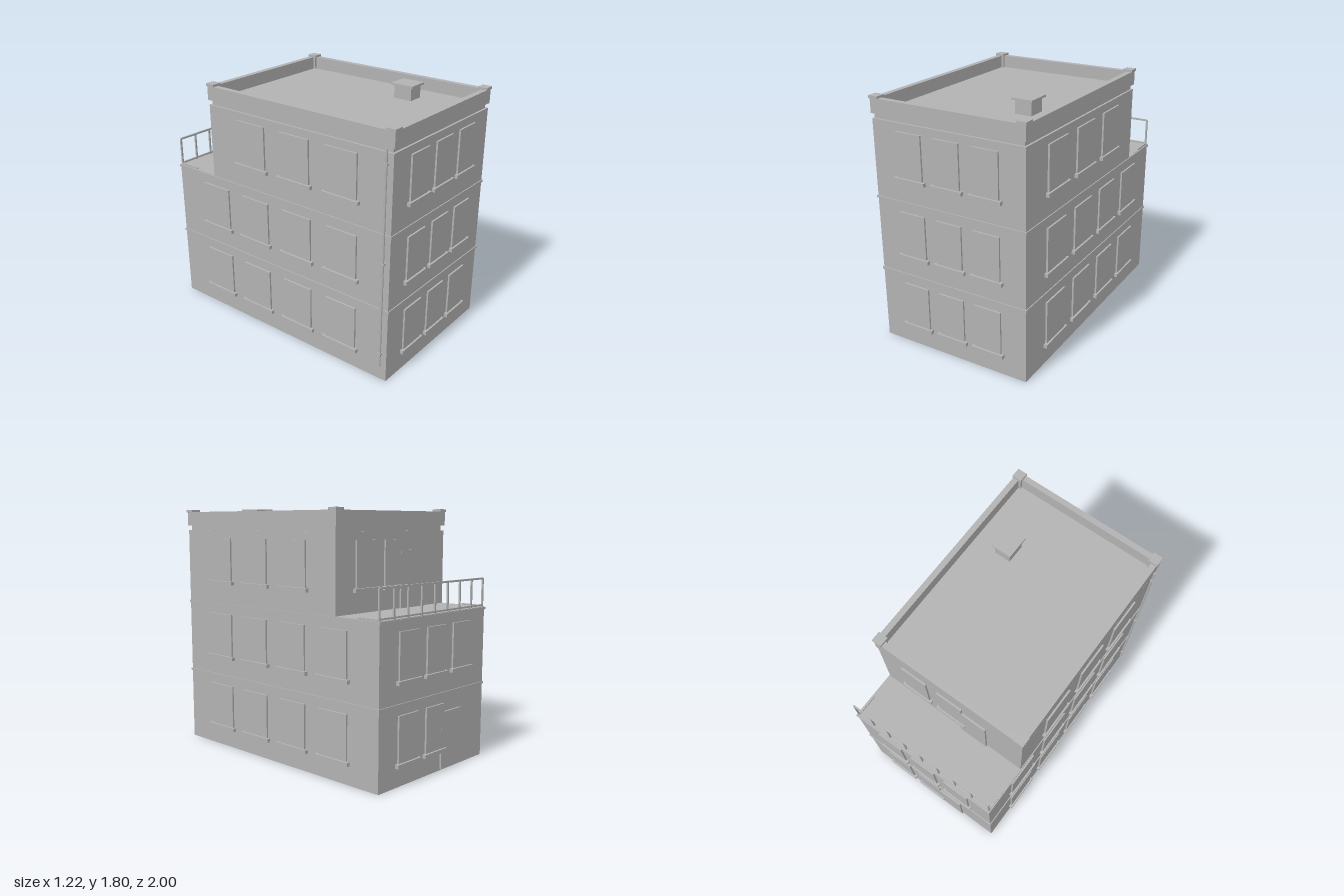
import * as THREE from 'three';

const HX = 0.584;                     // half width of the walls
const ZF = 0.972, ZB = -0.972;        // front and back walls
const ZU = -0.602;                    // back wall of the top storey
const FLOORS = [0, 0.546, 1.112];     // window offsets for each storey

export function createModel() {
  const model = new THREE.Group();
  const plaster = new THREE.MeshStandardMaterial({ color: 0xb2b2b2 });
  plaster.name = 'plaster grey';

  // box given by its lower and upper limits on each axis
  function box(name, x0, x1, y0, y1, z0, z1, parent = model) {
    const mesh = new THREE.Mesh(new THREE.BoxGeometry(x1 - x0, y1 - y0, z1 - z0), plaster);
    mesh.position.set((x0 + x1) / 2, (y0 + y1) / 2, (z0 + z1) / 2);
    mesh.name = name;
    parent.add(mesh);
    return mesh;
  }

  // walls
  box('lowerStoreys', -HX, HX, 0, 1.103, ZB, ZF);
  box('topStorey', -HX, HX, 1.103, 1.645, ZU, ZF);

  // thin bands between the storeys
  const b = 0.007;
  box('lowerBand', -HX - b, HX + b, 0.537, 0.553, ZB - b, ZF + b);
  box('upperBand', -HX - b, HX + b, 1.083, 1.1, ZB - b, ZF + b);

  // recessed neck, roof deck and parapet
  box('roofNeck', -HX + 0.015, HX - 0.015, 1.645, 1.68, ZU + 0.015, ZF - 0.015);
  const px = 0.588, pf = 0.978, pb = -0.61, t = 0.042;
  box('roofDeck', -px, px, 1.68, 1.69, pb, pf);
  box('frontParapet', -px, px, 1.68, 1.783, pf - t, pf);
  box('backParapet', -px, px, 1.68, 1.783, pb, pb + t);
  for (const s of [-1, 1]) {
    const xo = s * px, xi = s * (px - t);
    box('sideParapet', Math.min(xo, xi), Math.max(xo, xi), 1.68, 1.783, pb + t, pf - t);
    // corner posts with caps
    for (const z of [pf - 0.03, pb + 0.03]) {
      const x = s * (px - 0.03);
      box('cornerPost', x - 0.029, x + 0.029, 1.685, 1.784, z - 0.029, z + 0.029);
      box('cornerCap', x - 0.036, x + 0.036, 1.782, 1.8, z - 0.036, z + 0.036);
    }
  }

  // chimney
  box('chimney', 0.25, 0.37, 1.69, 1.786, 0.405, 0.545);
  box('chimneyCap', 0.233, 0.387, 1.785, 1.8, 0.387, 0.563);

  // window with sill on a wall whose outward direction is turned by angle
  function addWindow(x, z, angle, base, width) {
    const g = new THREE.Group();
    g.name = 'window';
    const w = width / 2, s = w + 0.021;
    box('windowPanel', -w, w, 0.16, 0.476, 0, 0.013, g);
    box('windowSill', -s, s, 0.132, 0.159, 0, 0.026, g);
    g.position.set(x, base, z);
    g.rotation.y = angle;
    model.add(g);
  }

  const columns = [-0.293, 0, 0.293];
  FLOORS.forEach((base, floor) => {
    for (const x of columns) {
      addWindow(x, ZF, 0, base, 0.204);
      // the back has a door in place of one window on two storeys
      if (floor === 1 || x >= 0) addWindow(x, floor === 2 ? ZU : ZB, Math.PI, base, 0.204);
    }
    const rows = floor === 2 ? [0.58, 0.188, -0.205] : [0.585, 0.197, -0.191, -0.579];
    for (const z of rows) {
      for (const s of [-1, 1]) addWindow(s * HX, z, s * Math.PI / 2, base, 0.256);
    }
  });

  // back doors
  box('groundDoor', -0.295, -0.073, 0.01, 0.415, ZB - 0.0135, ZB);
  box('terraceDoor', -0.295, -0.073, 1.103, 1.515, ZU - 0.0135, ZU);

  // terrace railing with short floor bars at its ends
  const rx = 0.575, rz = -0.96, r = 0.006;
  box('topRail', -rx, rx, 1.299, 1.312, rz - r, rz + r);
  box('bottomRail', -rx, rx, 1.108, 1.12, rz - r, rz + r);
  for (let i = 0; i <= 8; i++) {
    const x = -rx + (2 * rx * i) / 8;
    box('railPost', x - r, x + r, 1.1, 1.305, rz - r, rz + r);
  }
  for (const s of [-1, 1]) box('railFloorBar', s * rx - r, s * rx + r, 1.102, 1.114, rz, -0.79);

  // drainpipe with brackets
  const pipe = new THREE.Mesh(new THREE.CylinderGeometry(0.008, 0.008, 1.56, 10), plaster);
  pipe.name = 'drainpipe';
  pipe.position.set(-0.594, 0.89, 0.925);
  model.add(pipe);
  for (const y of [0.21, 0.89, 1.57]) {
    box('pipeBracket', -0.606, -HX, y - 0.007, y + 0.007, 0.913, 0.937);
  }

  return model;
}
